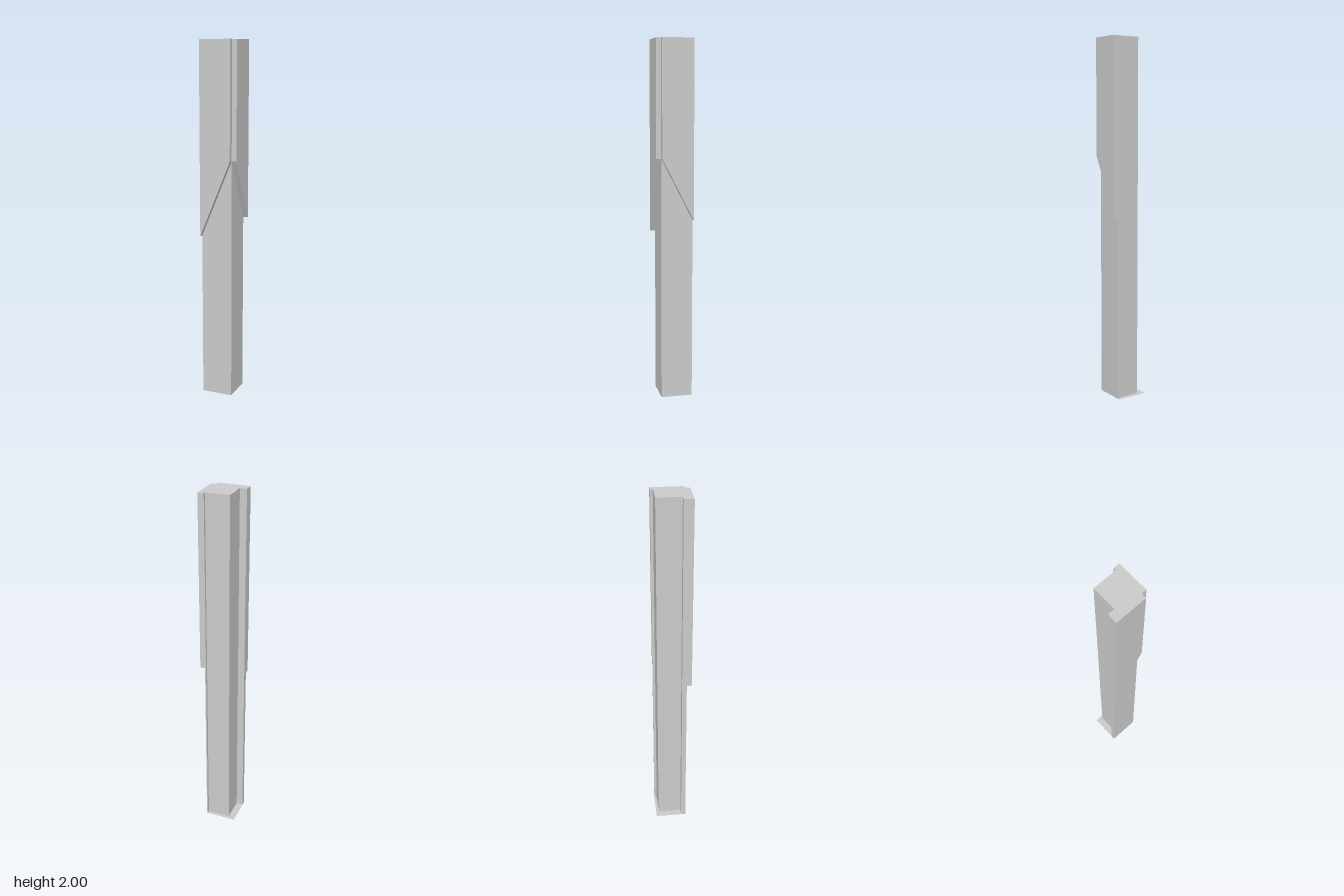
import * as THREE from 'three';

const material = new THREE.MeshStandardMaterial({ color: 0xcccccc, flatShading: true, side: THREE.DoubleSide });
const HEIGHT = 2;
const OUTER = 0.103; // back and side limit of the post
const FACE = 0.073;  // face of the post behind the cladding
const SKIN = 0.028;  // cladding thickness

function extrude(points, depth) {
  const shape = new THREE.Shape(points.map(([x, y]) => new THREE.Vector2(x, y)));
  return new THREE.ExtrudeGeometry(shape, { depth, bevelEnabled: false });
}

// Vertical prism from a plan outline given as [x, z]
function prism(outline, height) {
  return extrude(outline.map(([x, z]) => [x, -z]), height).rotateX(-Math.PI / 2);
}

// Cladding board with a slanted lower end, drawn as [along, y]
function board(from, yFrom, to, yTo) {
  return extrude([[from, yFrom], [to, yTo], [to, HEIGHT], [from, HEIGHT]], SKIN).translate(0, 0, FACE);
}

export function createModel() {
  const group = new THREE.Group();
  const add = (name, geometry) => {
    const mesh = new THREE.Mesh(geometry, material);
    mesh.name = name;
    group.add(mesh);
  };

  // Post with rebates along its back corner
  add('post', prism([
    [-0.065, -0.088], [0.067, -0.088], [0.067, -OUTER], [FACE, -OUTER],
    [FACE, FACE], [-OUTER, FACE], [-OUTER, 0.047], [-0.065, 0.047],
  ], HEIGHT));

  // Thin foot plate filling the whole square
  add('footPlate', prism([[-OUTER, -OUTER], [FACE, -OUTER], [FACE, FACE], [-OUTER, FACE]], 0.003));

  // Upper cladding on the two faces, meeting in a chevron at the corner
  add('frontCladding', board(-OUTER, 0.935, FACE, 1.36));
  add('leftCladding', board(-FACE, 1.36, OUTER, 1.02).rotateY(Math.PI / 2));

  return group;
}
